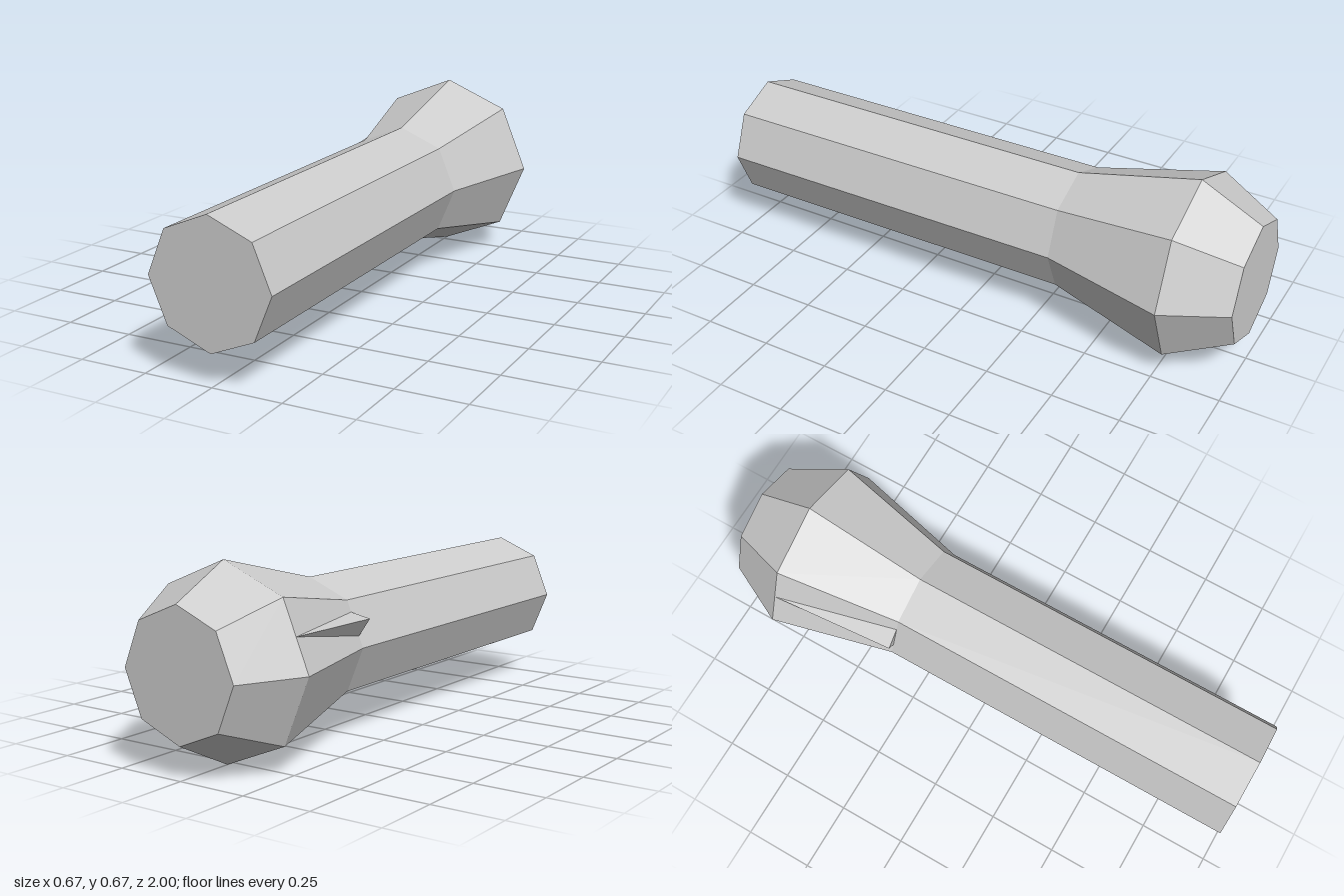
import * as THREE from 'three';

const AXIS_Y = 1 / 3; // height of the torch's long axis

export function createModel() {
  const group = new THREE.Group();
  const grey = new THREE.MeshStandardMaterial({ color: 0xcccccc, flatShading: true });
  grey.name = 'grey';

  const add = (name, geometry) => {
    const mesh = new THREE.Mesh(geometry, grey);
    mesh.name = name;
    group.add(mesh);
    return mesh;
  };

  // Eight-sided solid around the z axis from [radius, z] pairs, back to front
  const octagonal = (name, profile) => {
    const geometry = new THREE.LatheGeometry(profile.map(([r, z]) => new THREE.Vector2(r, z)), 8);
    geometry.rotateX(Math.PI / 2);
    add(name, geometry).position.y = AXIS_Y;
  };

  // Flared head with a flat lens end
  octagonal('head', [[0, -1], [0.222, -1], [0.333, -0.778], [0.222, -0.333]]);

  // Straight handle with a closed front end
  octagonal('handle', [[0.222, -0.333], [0.222, 1], [0, 1]]);

  // Wedge-shaped switch rising from one face of the flare
  const tip = [-0.284, 0.451, -0.778];
  const peak = [-0.243, 0.434, -0.323];
  const low = [-0.205, 0.372, -0.333];
  const high = [-0.173, 0.451, -0.333];
  const faces = [peak, low, high, tip, low, peak, tip, peak, high];
  const wedge = new THREE.BufferGeometry();
  wedge.setAttribute('position', new THREE.Float32BufferAttribute(faces.flat(), 3));
  wedge.computeVertexNormals();
  add('switch', wedge);

  return group;
}
